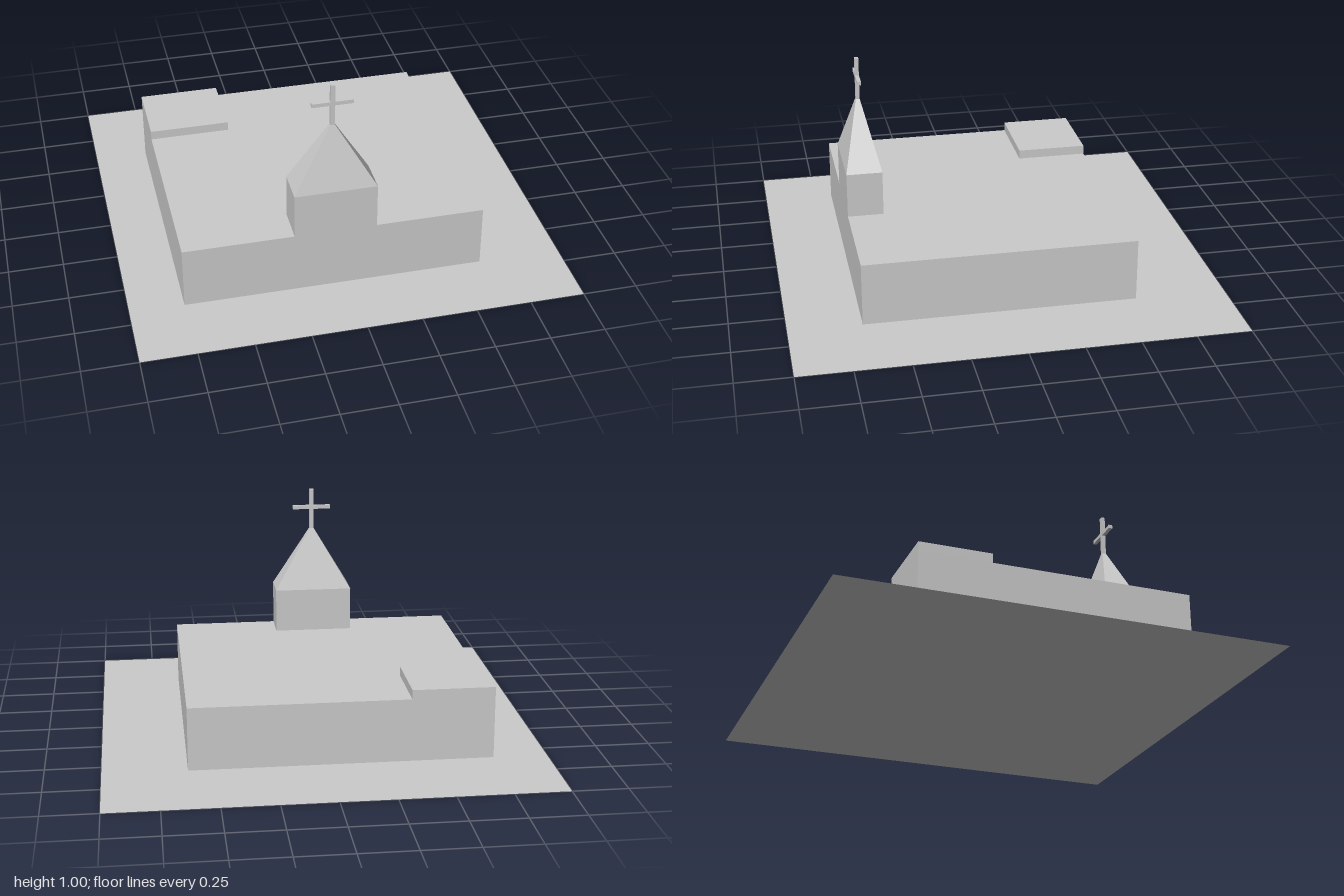
import * as THREE from 'three';

const material = new THREE.MeshStandardMaterial({ color: 0xcccccc, flatShading: true });

// Box given by its min and max on each axis
function box(name, [x0, x1], [y0, y1], [z0, z1]) {
  const mesh = new THREE.Mesh(new THREE.BoxGeometry(x1 - x0, y1 - y0, z1 - z0), material);
  mesh.position.set((x0 + x1) / 2, (y0 + y1) / 2, (z0 + z1) / 2);
  mesh.name = name;
  return mesh;
}

export function createModel() {
  const model = new THREE.Group();
  model.name = 'church';

  // Flat plot of land, visible from both sides
  const plot = new THREE.Mesh(
    new THREE.PlaneGeometry(2, 2).rotateX(-Math.PI / 2),
    new THREE.MeshStandardMaterial({ color: 0xcccccc, side: THREE.DoubleSide })
  );
  plot.name = 'plot';
  model.add(plot);

  // Main hall with a raised roof section at the back corner
  model.add(box('hall', [-0.754, 0.62], [0, 0.292], [-0.582, 0.667]));
  model.add(box('raisedRoof', [-0.754, -0.378], [0.292, 0.335], [-0.582, -0.252]));

  // Bell tower flush with the front wall
  const tower = new THREE.Group();
  tower.name = 'bellTower';
  const width = 0.375, depth = 0.166, cx = -0.063, cz = 0.584;
  tower.add(box('towerWalls', [cx - width / 2, cx + width / 2], [0.292, 0.502], [cz - depth / 2, cz + depth / 2]));

  // Four-sided spire: box whose top is pinched to the width of the cross post
  const spireGeometry = new THREE.BoxGeometry(width, 0.3, depth);
  const p = spireGeometry.attributes.position;
  for (let i = 0; i < p.count; i++) {
    if (p.getY(i) > 0) p.setXYZ(i, Math.sign(p.getX(i)) * 0.01, p.getY(i), Math.sign(p.getZ(i)) * 0.009);
  }
  spireGeometry.computeVertexNormals();
  const spire = new THREE.Mesh(spireGeometry, material);
  spire.position.set(cx, 0.652, cz);
  spire.name = 'spire';
  tower.add(spire);

  // Cross
  tower.add(box('crossPost', [cx - 0.01, cx + 0.01], [0.79, 1.0], [cz - 0.009, cz + 0.009]));
  tower.add(box('crossBar', [cx - 0.093, cx + 0.093], [0.9, 0.918], [cz - 0.009, cz + 0.009]));
  model.add(tower);

  return model;
}
